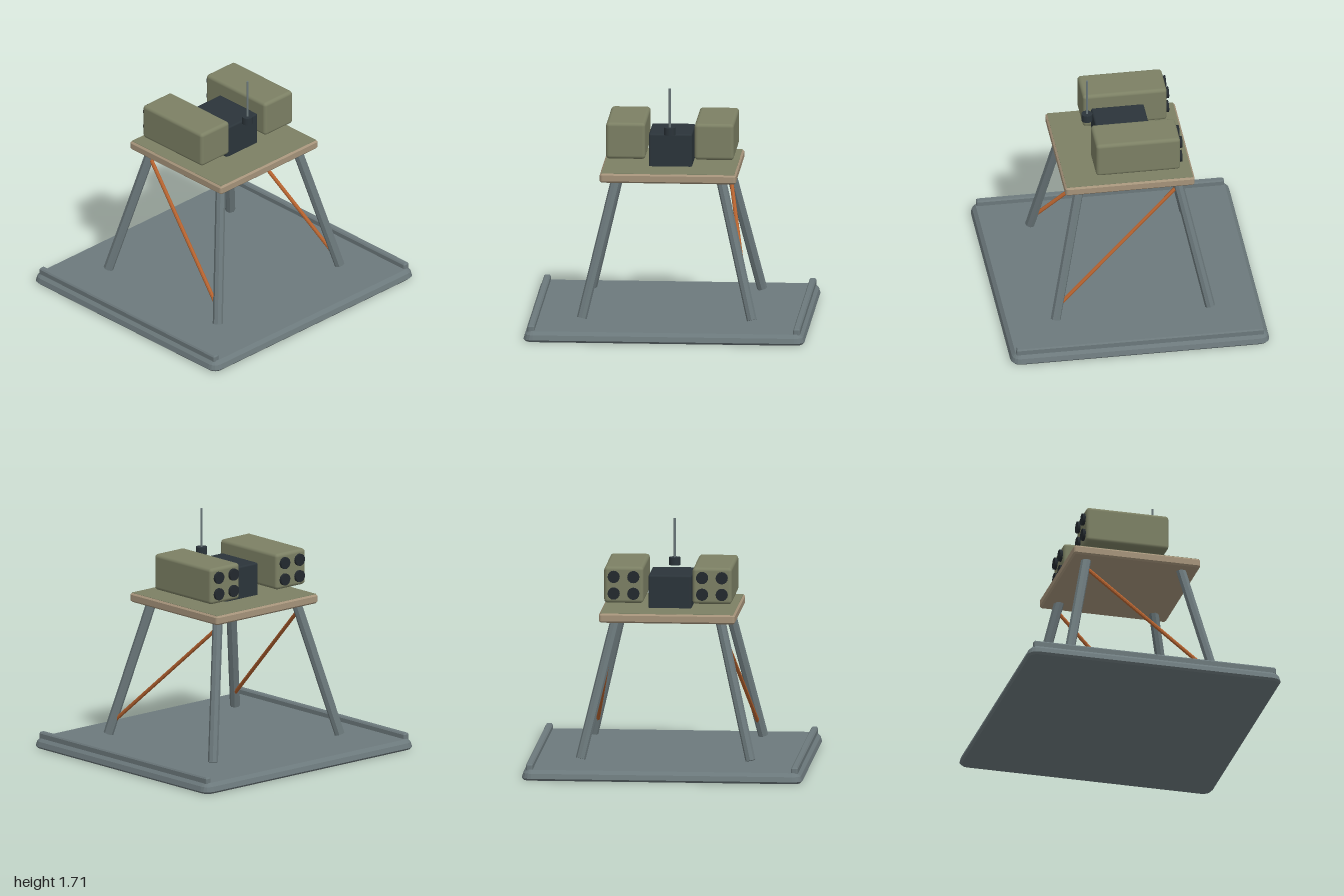
import * as THREE from 'three';
import { RoundedBoxGeometry } from 'three/addons/geometries/RoundedBoxGeometry.js';

const mat = (name, color) => Object.assign(new THREE.MeshStandardMaterial({ color }), { name });

export function createModel() {
  const model = new THREE.Group();
  model.name = 'launcherStand';
  const steel = mat('steel grey', 0x6c797c);
  const olive = mat('olive', 0x7c8064);
  const tan = mat('tan', 0xa5937a);
  const dark = mat('dark slate', 0x2b343a);
  const black = mat('tube black', 0x23292e);
  const copper = mat('copper', 0xb4622f);

  function add(name, geometry, material, x = 0, y = 0, z = 0, parent = model) {
    const mesh = new THREE.Mesh(geometry, material);
    mesh.name = name;
    mesh.position.set(x, y, z);
    parent.add(mesh);
    return mesh;
  }

  // Rounded-corner slab lofted through levels of [height, inset]
  function slab(hx, hz, radius, levels) {
    const steps = 4, pos = [], idx = [];
    const n = 4 * (steps + 1);
    for (const [y, inset] of levels) {
      const r = radius - inset;
      for (let i = 0; i < n; i++) {
        const corner = Math.floor(i / (steps + 1));
        const a = (corner + (i % (steps + 1)) / steps) * Math.PI / 2;
        const sx = corner === 0 || corner === 3 ? 1 : -1;
        const sz = corner < 2 ? 1 : -1;
        pos.push(sx * (hx - radius) + r * Math.cos(a), y, sz * (hz - radius) + r * Math.sin(a));
      }
    }
    for (let l = 0; l < levels.length - 1; l++) {
      for (let i = 0; i < n; i++) {
        const a = l * n + i, b = l * n + (i + 1) % n;
        idx.push(a, a + n, b, b, a + n, b + n);
      }
    }
    const top = (levels.length - 1) * n;
    for (let i = 1; i < n - 1; i++) {
      idx.push(0, i, i + 1);
      idx.push(top, top + i + 1, top + i);
    }
    const g = new THREE.BufferGeometry();
    g.setAttribute('position', new THREE.Float32BufferAttribute(pos, 3));
    g.setIndex(idx);
    const flat = g.toNonIndexed();
    flat.computeVertexNormals();
    return flat;
  }

  // Faceted rod between two points
  function rod(name, a, b, radius, sides, material) {
    const dir = b.clone().sub(a);
    const g = new THREE.CylinderGeometry(radius, radius, dir.length(), sides).toNonIndexed();
    g.computeVertexNormals();
    const mid = a.clone().add(b).multiplyScalar(0.5);
    const mesh = add(name, g, material, mid.x, mid.y, mid.z);
    mesh.quaternion.setFromUnitVectors(new THREE.Vector3(0, 1, 0), dir.normalize());
  }

  // Ground plate with side rails
  add('basePlate', slab(1, 0.93, 0.07, [[0, 0.015], [0.015, 0], [0.05, 0.01], [0.075, 0.035]]), steel);
  for (const s of [-1, 1]) {
    add('sideRail', slab(0.024, 0.89, 0.012, [[0.07, 0], [0.105, 0], [0.115, 0.008]]), steel, s * 0.945);
  }

  // Splayed legs and diagonal braces
  for (const sx of [-1, 1]) {
    for (const sz of [-1, 1]) {
      rod('leg', new THREE.Vector3(sx * 0.605, 0.105, sz * 0.555),
        new THREE.Vector3(sx * 0.37, 1.09, sz * 0.345), 0.036, 8, steel);
    }
    rod('brace', new THREE.Vector3(sx * 0.57, 0.21, 0.515),
      new THREE.Vector3(sx * 0.39, 1.0, -0.345), 0.014, 8, copper);
  }

  // Table with a painted top
  add('table', slab(0.485, 0.465, 0.02, [[1.067, 0.012], [1.079, 0], [1.121, 0], [1.133, 0.012]]), tan);
  add('tableTop', new THREE.BoxGeometry(0.946, 0.004, 0.906), olive, 0, 1.133, 0);

  // Control box
  add('controlBox', new RoundedBoxGeometry(0.308, 0.25, 0.38, 2, 0.014), dark, 0, 1.245, -0.004);

  // Pods, each with four tube mouths at the back
  for (const s of [-1, 1]) {
    const pod = new THREE.Group();
    pod.name = 'pod';
    pod.position.set(s * 0.315, 1.325, -0.063);
    model.add(pod);
    add('podBody', new RoundedBoxGeometry(0.28, 0.262, 0.605, 3, 0.025), olive, 0, 0, 0, pod);
    for (const x of [-0.07, 0.07]) {
      for (const y of [-0.06, 0.06]) {
        const tube = add('tubeMouth', new THREE.CylinderGeometry(0.043, 0.043, 0.04, 16), black, x, y, -0.302, pod);
        tube.rotation.x = Math.PI / 2;
      }
    }
  }

  // Antenna
  add('antennaBase', new THREE.CylinderGeometry(0.04, 0.04, 0.055, 12), dark, 0, 1.403, 0.238);
  add('antennaMast', new THREE.CylinderGeometry(0.008, 0.008, 0.29, 8), steel, 0, 1.567, 0.238);

  return model;
}
